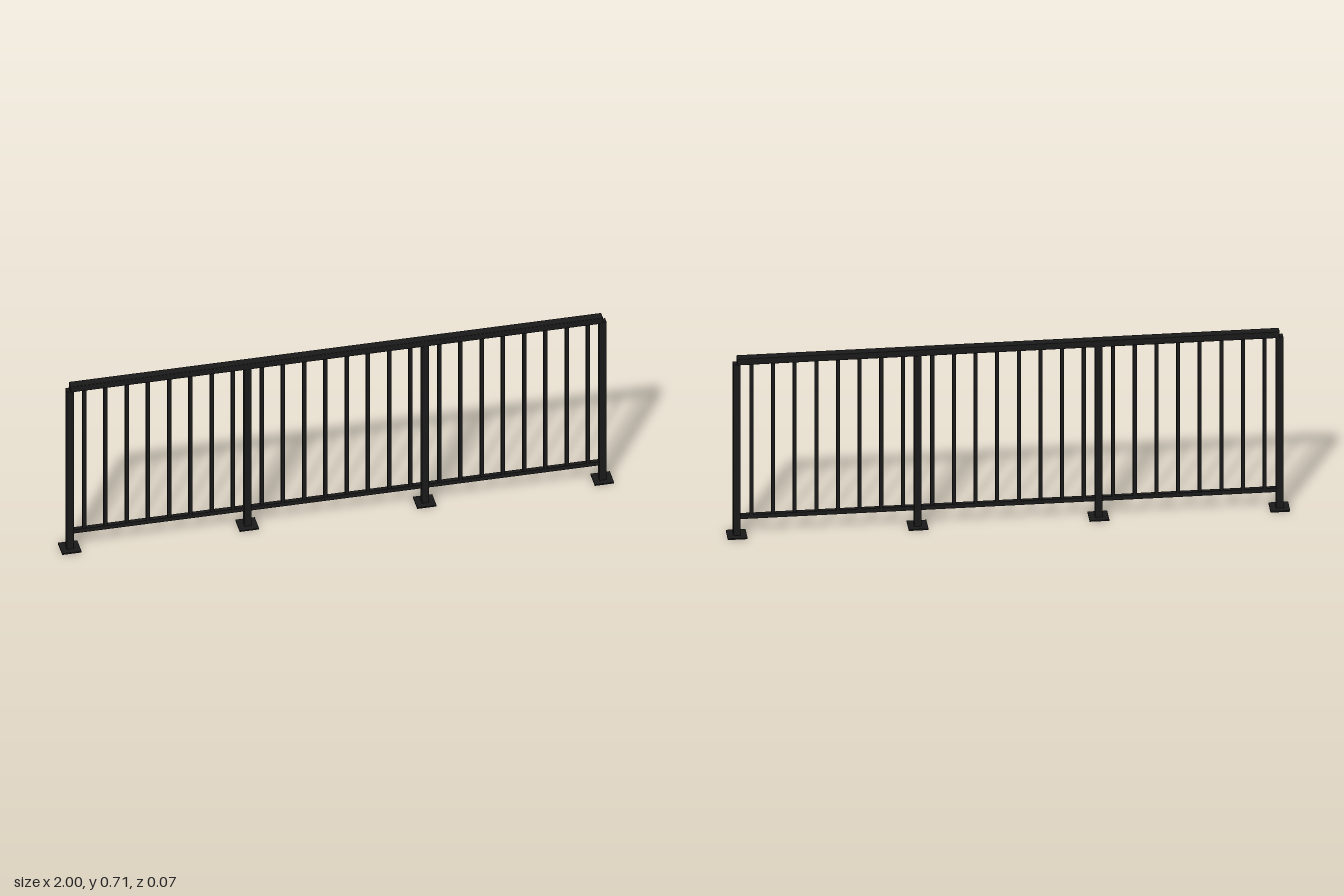
import * as THREE from 'three';
import { RoundedBoxGeometry } from 'three/addons/geometries/RoundedBoxGeometry.js';

export function createModel() {
  const model = new THREE.Group();
  model.name = 'railing';
  const metal = new THREE.MeshStandardMaterial({ color: 0x1a1a1a });

  const END = 0.965;              // centre of the outer posts
  const BAYS = 3, BARS = 8;
  const BAY = (2 * END) / BAYS;
  const PITCH = 0.077;            // spacing of the balusters

  const add = (name, geometry, x, y) => {
    const mesh = new THREE.Mesh(geometry, metal);
    mesh.name = name;
    mesh.position.set(x, y, 0);
    model.add(mesh);
  };
  // Box spanning y0..y1, centred on z
  const bar = (name, x, y0, y1, w, d) =>
    add(name, new THREE.BoxGeometry(w, y1 - y0, d), x, (y0 + y1) / 2);

  // Handrail with softened edges, and bottom rail
  add('handrail', new RoundedBoxGeometry(2 * END, 0.025, 0.034, 2, 0.003), 0, 0.6955);
  bar('bottomRail', 0, 0.067, 0.083, 2 * END, 0.016);

  // Posts on square base plates
  for (let i = 0; i <= BAYS; i++) {
    const x = -END + i * BAY;
    bar('basePlate', x, 0, 0.005, 0.07, 0.07);
    bar('post', x, 0.005, 0.685, 0.026, 0.026);
  }

  // Balusters, evenly spaced about the middle of each bay
  for (let b = 0; b < BAYS; b++) {
    const middle = -END + (b + 0.5) * BAY;
    for (let i = 0; i < BARS; i++) {
      bar('baluster', middle + (i - (BARS - 1) / 2) * PITCH, 0.08, 0.685, 0.013, 0.013);
    }
  }
  return model;
}
